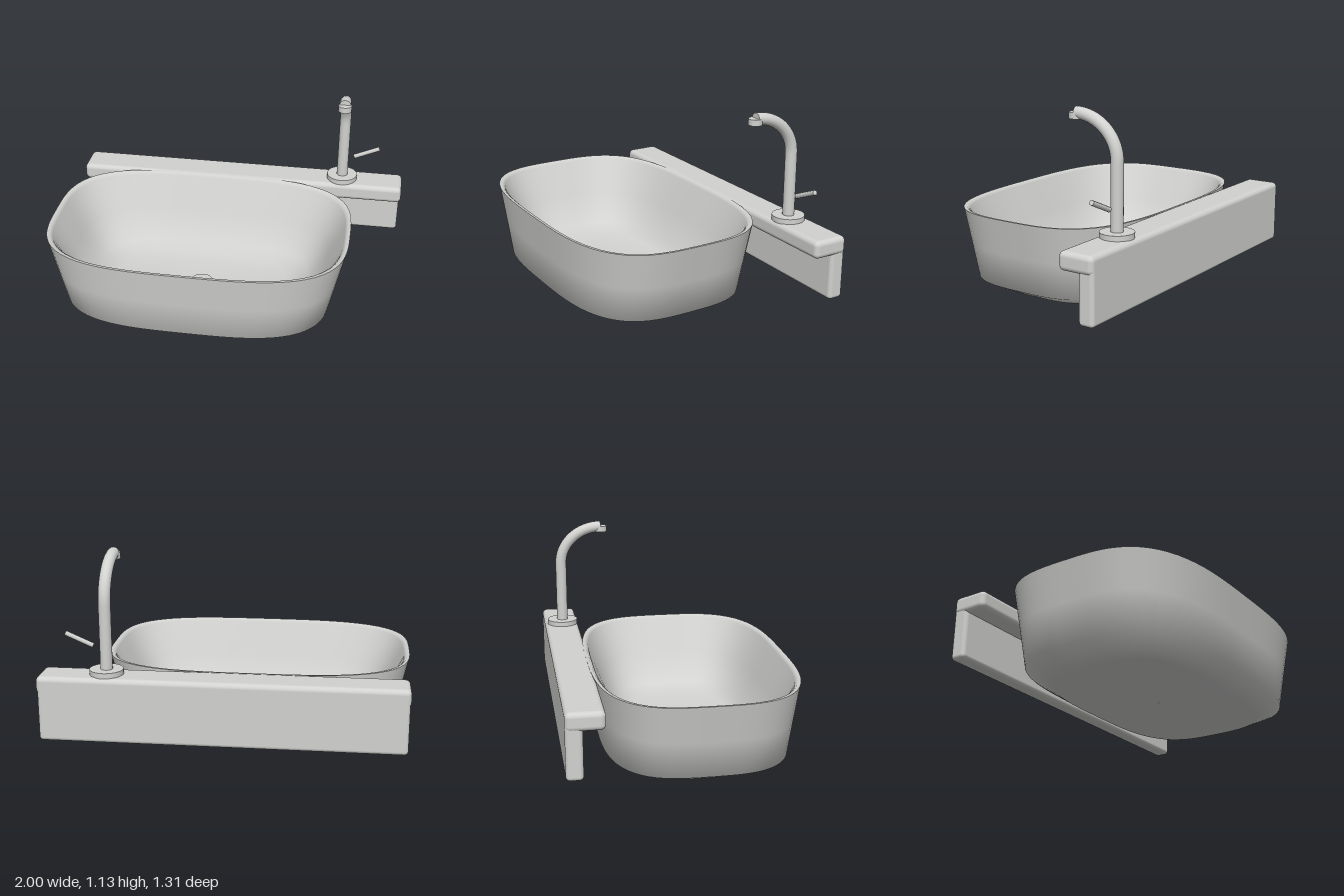
import * as THREE from 'three';
import { RoundedBoxGeometry } from 'three/addons/geometries/RoundedBoxGeometry.js';

const SEGMENTS = 96;

// Loft of superellipse rings; each ring is [half width, half depth, height]
function loftGeometry(rings) {
  const n = 3.25, positions = [], index = [];
  for (const [w, d, y] of rings) {
    for (let j = 0; j < SEGMENTS; j++) {
      const t = (j / SEGMENTS) * Math.PI * 2;
      const c = Math.cos(t), s = Math.sin(t);
      const r = Math.pow(Math.abs(c) ** n + Math.abs(s) ** n, -1 / n);
      positions.push(w * r * c, y, d * r * s);
    }
  }
  for (let i = 0; i < rings.length - 1; i++) {
    for (let j = 0; j < SEGMENTS; j++) {
      const k = (j + 1) % SEGMENTS;
      const a = i * SEGMENTS + j, b = i * SEGMENTS + k;
      const c = a + SEGMENTS, d = b + SEGMENTS;
      index.push(a, c, b, b, c, d);
    }
  }
  const geometry = new THREE.BufferGeometry();
  geometry.setAttribute('position', new THREE.Float32BufferAttribute(positions, 3));
  geometry.setIndex(index);
  geometry.computeVertexNormals();
  return geometry;
}

export function createModel() {
  const model = new THREE.Group();
  const ceramic = new THREE.MeshStandardMaterial({ color: 0xd2d2d0 });
  ceramic.name = 'light grey ceramic';

  function add(name, geometry, x, y, z, parent = model) {
    const mesh = new THREE.Mesh(geometry, ceramic);
    mesh.name = name;
    mesh.position.set(x, y, z);
    parent.add(mesh);
    return mesh;
  }

  // Basin shell: underside and outer wall
  add('basinOutside', loftGeometry([
    [0.002, 0.002, 0],
    [0.62, 0.405, 0],
    [0.77, 0.515, 0.073],
    [0.815, 0.538, 0.28],
    [0.86, 0.5625, 0.487],
  ]), -0.14, 0, 0.0925);

  // Basin bowl: rim, sloping inner wall and shallow dished floor
  add('basinInside', loftGeometry([
    [0.86, 0.5625, 0.487],
    [0.842, 0.545, 0.485],
    [0.828, 0.531, 0.472],
    [0.735, 0.458, 0.28],
    [0.63, 0.375, 0.1],
    [0.5, 0.295, 0.07],
    [0.33, 0.195, 0.055],
    [0.002, 0.002, 0.05],
  ]), -0.14, 0, 0.0925);
  add('drain', new THREE.CylinderGeometry(0.067, 0.067, 0.03, 48), -0.14, 0.053, 0.0875);

  // Wall bracket: shelf with a panel hanging from its back edge
  add('shelf', new RoundedBoxGeometry(1.98, 0.1, 0.204, 4, 0.028), 0.008, 0.437, -0.553);
  add('backPanel', new RoundedBoxGeometry(1.968, 0.333, 0.09, 4, 0.022), 0.007, 0.2935, -0.61);

  // Tap, placed on the shelf
  const tap = new THREE.Group();
  tap.name = 'tap';
  tap.position.set(0.631, 0, -0.548);
  model.add(tap);
  add('tapBase', new THREE.CylinderGeometry(0.091, 0.091, 0.03, 48), 0, 0.5, 0, tap);

  // Spout: straight riser followed by a quarter ellipse towards the basin
  const path = new THREE.CurvePath();
  const V = (y, z) => new THREE.Vector3(0, y, z);
  path.add(new THREE.LineCurve3(V(0.51, 0), V(0.87, 0)));
  path.add(new THREE.CubicBezierCurve3(V(0.87, 0), V(0.995, 0), V(1.094, 0.112), V(1.094, 0.247)));
  add('spout', new THREE.TubeGeometry(path, 48, 0.033, 20, false), 0, 0, 0, tap);
  add('spoutEnd', new THREE.CircleGeometry(0.033, 20), 0, 1.094, 0.247, tap);
  add('nozzle', new THREE.CylinderGeometry(0.038, 0.038, 0.034, 32), 0, 1.081, 0.25, tap);

  // Lever, tilted up and away from the spout
  const lever = add('lever', new THREE.CylinderGeometry(0.014, 0.014, 0.163, 8), 0.142, 0.673, 0.001, tap);
  lever.rotation.z = Math.atan2(0.065, 0.15) - Math.PI / 2;

  return model;
}
